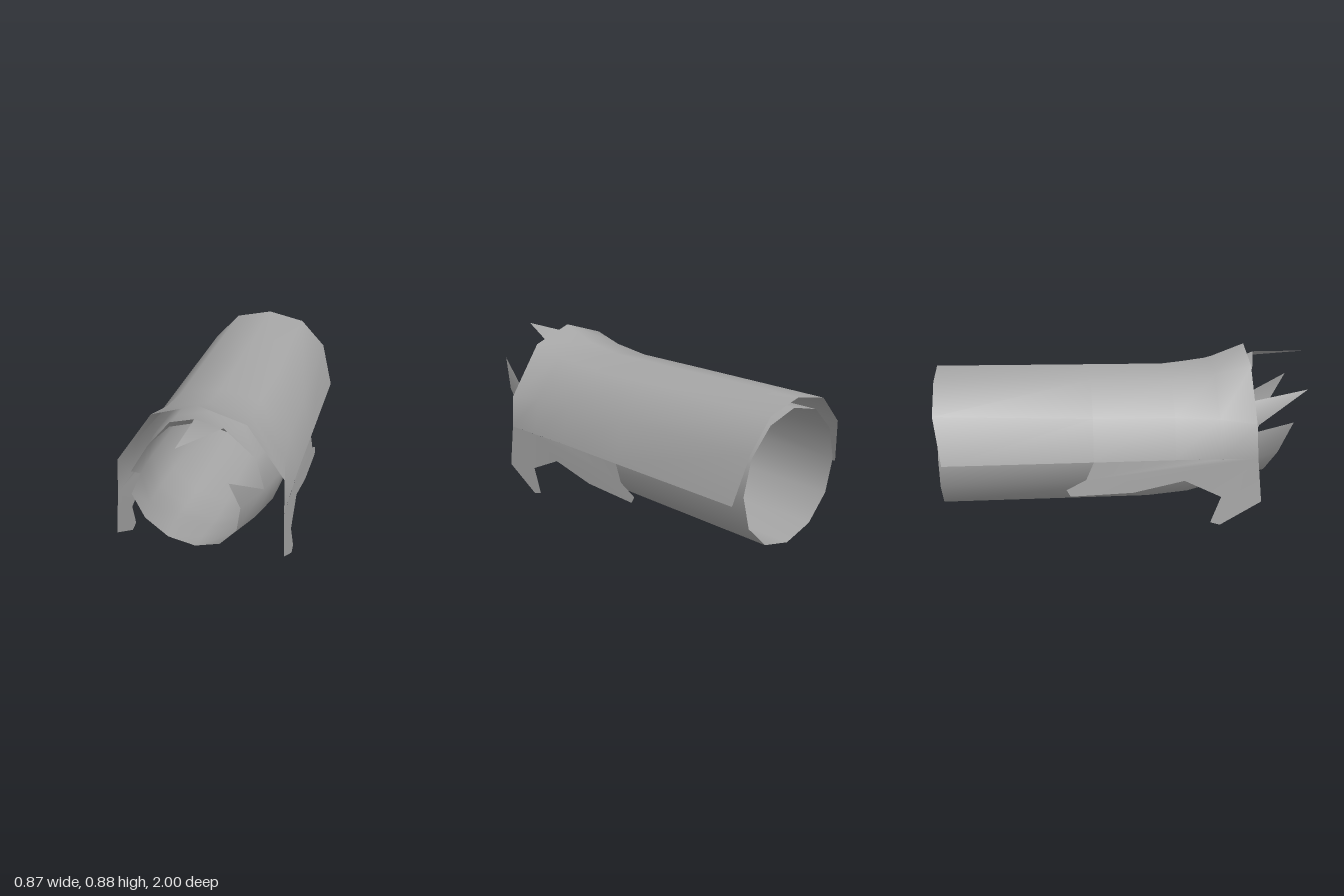
import * as THREE from 'three';

// Smooth surface from points and triangles
function surface(name, points, index, material) {
  const g = new THREE.BufferGeometry();
  g.setAttribute('position', new THREE.Float32BufferAttribute(points.flat(), 3));
  g.setIndex(index);
  g.computeVertexNormals();
  const mesh = new THREE.Mesh(g, material);
  mesh.name = name;
  return mesh;
}

// Inner tube: twelve sides, narrowing and rising to a torn front rim
function innerTube(material) {
  const N = 12;
  const point = (i, [z, cy, rx, ry]) => {
    const t = (i / N) * Math.PI * 2;
    return [Math.sin(t) * rx, cy - Math.cos(t) * ry, z];
  };
  // z, centre height, half width, half height
  const rings = [
    [-0.98, 0.385, 0.355, 0.345], [0.1, 0.385, 0.355, 0.345], [0.32, 0.402, 0.35, 0.343],
    [0.45, 0.425, 0.336, 0.333], [0.6, 0.447, 0.315, 0.323],
  ];
  // rim depth from the bottom (0) round to the top (6)
  const rimZ = [0.73, 0.75, 0.8, 0.87, 0.95, 0.67, 0.7];
  const points = [], index = [];
  for (const ring of rings) for (let i = 0; i < N; i++) points.push(point(i, ring));
  for (let i = 0; i < N; i++) points.push(point(i, [rimZ[Math.min(i, N - i)], 0.494, 0.262, 0.339]));
  points.push([0, 0.833, 1]);
  const id = (row, i) => row * N + (i % N);
  const quad = (row, i) => index.push(
    id(row, i), id(row, i + 1), id(row + 1, i),
    id(row, i + 1), id(row + 1, i + 1), id(row + 1, i));
  for (let row = 0; row < 4; row++) for (let i = 0; i < N; i++) quad(row, i);
  // lower rim, then the upper lip
  for (const i of [9, 10, 11, 0, 1, 2, 5, 6]) if (i !== 5 && i !== 6) quad(4, i);
  for (const i of [5, 6]) quad(4, i);
  index.push(id(4, 4), id(4, 5), id(5, 5), id(4, 7), id(4, 8), id(5, 7));
  // side spikes and the top spike
  index.push(id(4, 3), id(5, 4), id(5, 3));
  index.push(id(4, 8), id(4, 9), id(5, 8));
  index.push(id(5, 5), id(5, 6), 6 * N);
  return surface('innerTube', points, index, material);
}

// Outer sleeve: open below, flaring at the front
function outerSleeve(material) {
  // half sections from the side edge up to the crown
  const sections = [
    [[0.41, 0.35, -0.96], [0.345, 0.59, -1], [0.205, 0.74, -1], [0, 0.785, -1]],
    [[0.412, 0.35, -0.2], [0.362, 0.565, -0.2], [0.21, 0.737, -0.2], [0, 0.778, -0.2]],
    [[0.412, 0.35, 0.22], [0.365, 0.56, 0.22], [0.21, 0.735, 0.22], [0, 0.775, 0.22]],
    [[0.418, 0.35, 0.45], [0.387, 0.55, 0.45], [0.22, 0.757, 0.45], [0, 0.805, 0.45]],
    [[0.424, 0.35, 0.645], [0.42, 0.53, 0.635], [0.235, 0.80, 0.635], [0, 0.878, 0.645]],
  ];
  const points = [], index = [], W = 7;
  for (const s of sections) {
    points.push(...s, ...s.slice(0, 3).reverse().map(([x, y, z]) => [-x, y, z]));
  }
  for (let r = 0; r < sections.length - 1; r++) {
    for (let i = 0; i < W - 1; i++) {
      const a = r * W + i, b = a + 1, c = a + W, d = c + 1;
      index.push(a, b, c, b, d, c);
    }
  }
  return surface('outerSleeve', points, index, material);
}

// Torn side flap hanging from the sleeve edge (side = 1 or -1)
function sideFlap(side, material) {
  const outline = [ // z, y
    [-0.2, 0.35], [-0.24, 0.26], [-0.34, 0.21], [-0.32, 0.175], [0, 0.185], [0.265, 0.24],
    [0.455, 0.15], [0.4, 0.015], [0.45, 0], [0.665, 0.12], [0.645, 0.35], [0.45, 0.35], [0.22, 0.35],
  ];
  const shape = new THREE.Shape(outline.map(([z, y]) => new THREE.Vector2(-side * z, y)));
  const g = new THREE.ShapeGeometry(shape);
  g.rotateY(side * Math.PI / 2);
  const p = g.attributes.position;
  for (let i = 0; i < p.count; i++) {
    const flare = 0.012 * THREE.MathUtils.clamp((p.getZ(i) - 0.22) / 0.42, 0, 1);
    p.setX(i, side * (0.412 + flare + 0.045 * (0.35 - p.getY(i))));
  }
  g.computeVertexNormals();
  const mesh = new THREE.Mesh(g, material);
  mesh.name = side > 0 ? 'leftFlap' : 'rightFlap';
  return mesh;
}

export function createModel() {
  const grey = new THREE.MeshStandardMaterial({ color: 0xa6a6a6, side: THREE.DoubleSide });
  grey.name = 'plain grey';
  const group = new THREE.Group();
  group.name = 'tornSleeve';
  group.add(innerTube(grey), outerSleeve(grey), sideFlap(1, grey), sideFlap(-1, grey));
  return group;
}
